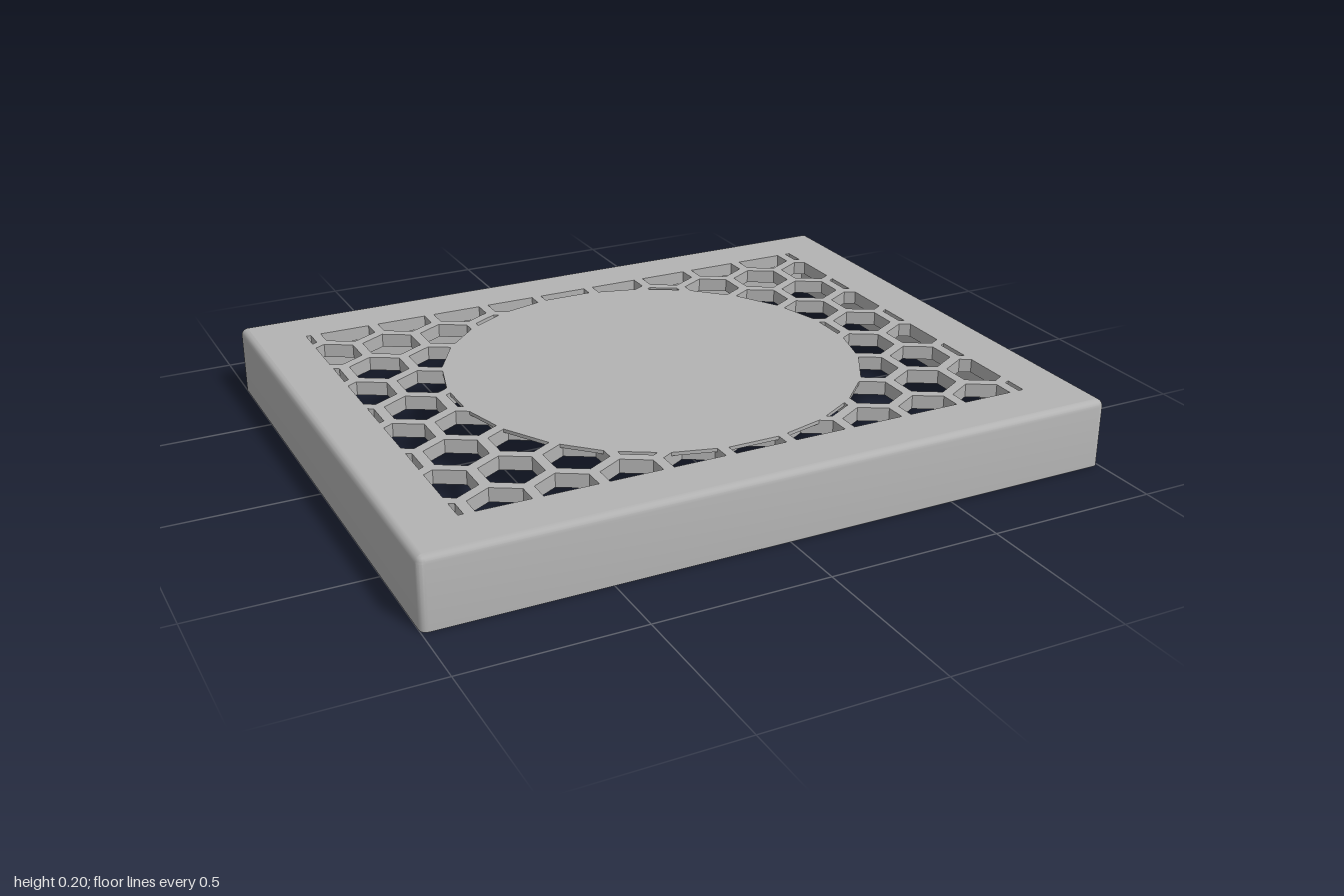
import * as THREE from 'three';
import { toCreasedNormals } from 'three/addons/utils/BufferGeometryUtils.js';

const HX = 1, HZ = 0.8, HEIGHT = 0.2;     // outer half sizes and height
const WALL = 0.02, PLATE = 0.04;          // wall and top thickness
const PITCH = 0.18, HOLE = 0.15;          // hexagon spacing and width across flats
const WIN_X = 0.84, WIN_Z = 0.64;         // half size of the perforated window

// Rounded rectangle loop, inset from the outer outline
function outline(y, inset, steps = 4) {
  const r = Math.max(WALL - inset, 0), pts = [];
  [[1, 1], [-1, 1], [-1, -1], [1, -1]].forEach(([sx, sz], q) => {
    for (let i = 0; i <= steps; i++) {
      const a = (q + i / steps) * Math.PI / 2;
      pts.push([sx * (HX - WALL) + r * Math.cos(a), y, sz * (HZ - WALL) + r * Math.sin(a)]);
    }
  });
  return pts;
}

// Skin joining closed loops
function loft(loops) {
  const n = loops[0].length, index = [];
  for (let i = 0; i < loops.length - 1; i++) {
    for (let j = 0; j < n; j++) {
      const a = i * n + j, b = i * n + (j + 1) % n;
      index.push(a, a + n, b, b, a + n, b + n);
    }
  }
  const g = new THREE.BufferGeometry();
  g.setAttribute('position', new THREE.Float32BufferAttribute(loops.flat(2), 3));
  g.setIndex(index);
  return toCreasedNormals(g, 0.6);
}

// Keep the part of a convex polygon where sign * p[axis] <= limit
function clip(poly, axis, sign, limit) {
  const out = [];
  poly.forEach((p, i) => {
    const q = poly[(i + 1) % poly.length];
    const dp = limit - sign * p[axis], dq = limit - sign * q[axis];
    if (dp >= 0) out.push(p);
    if (dp * dq < 0) out.push(p.clone().lerp(q, dp / (dp - dq)));
  });
  return out;
}

// Hexagon trimmed to the window
function hexagon(cx, cy) {
  const r = HOLE / Math.sqrt(3);
  let poly = [];
  for (let k = 0; k < 6; k++) {
    const a = Math.PI / 6 + k * Math.PI / 3;
    poly.push(new THREE.Vector2(cx + r * Math.cos(a), cy + r * Math.sin(a)));
  }
  for (const s of [1, -1]) {
    poly = clip(poly, 'x', s, WIN_X);
    poly = clip(poly, 'y', s, WIN_Z);
  }
  return poly;
}

export function createModel() {
  const grey = new THREE.MeshStandardMaterial({ color: 0xb3b3b3 });
  grey.name = 'grey plastic';
  const group = new THREE.Group();
  group.name = 'ventilatedCover';
  const add = (name, geometry, y = 0) => {
    const mesh = new THREE.Mesh(geometry, grey);
    mesh.name = name;
    mesh.position.y = y;
    group.add(mesh);
    return mesh;
  };

  // Thin side walls with rounded upper edges
  const loops = [outline(HEIGHT - PLATE, WALL), outline(0, WALL), outline(0, 0)];
  for (let i = 0; i <= 4; i++) {
    const a = i / 4 * Math.PI / 2;
    loops.push(outline(HEIGHT - WALL + WALL * Math.sin(a), WALL * (1 - Math.cos(a))));
  }
  add('sideWalls', loft(loops));

  // Top plate with honeycomb holes
  const x = HX - WALL, z = HZ - WALL;
  const shape = new THREE.Shape([[-x, -z], [x, -z], [x, z], [-x, z]].map(p => new THREE.Vector2(...p)));
  for (let row = -5; row <= 5; row++) {
    for (let col = -6; col <= 6; col++) {
      const cx = (col + (row % 2 ? 0.5 : 0)) * PITCH;
      const poly = hexagon(cx, row * PITCH * Math.sqrt(3) / 2);
      if (poly.length > 2) shape.holes.push(new THREE.Path(poly));
    }
  }
  const plate = new THREE.ExtrudeGeometry(shape, { depth: PLATE, bevelEnabled: false });
  add('honeycombPlate', plate.rotateX(-Math.PI / 2), HEIGHT - PLATE);

  // Flush disc closing the holes in the middle
  const disc = new THREE.CylinderGeometry(0.605, 0.605, 0.01, 24).rotateY(Math.PI / 24);
  add('centreDisc', disc, HEIGHT - 0.005);

  // Small snap bumps on the inside of the long walls
  for (const sx of [1, -1]) {
    for (const sz of [1, -1]) {
      const bump = add('snapBump', new THREE.SphereGeometry(0.017, 16, 10), 0.085);
      bump.position.x = sx * 0.6;
      bump.position.z = sz * (HZ - WALL);
    }
  }
  return group;
}
